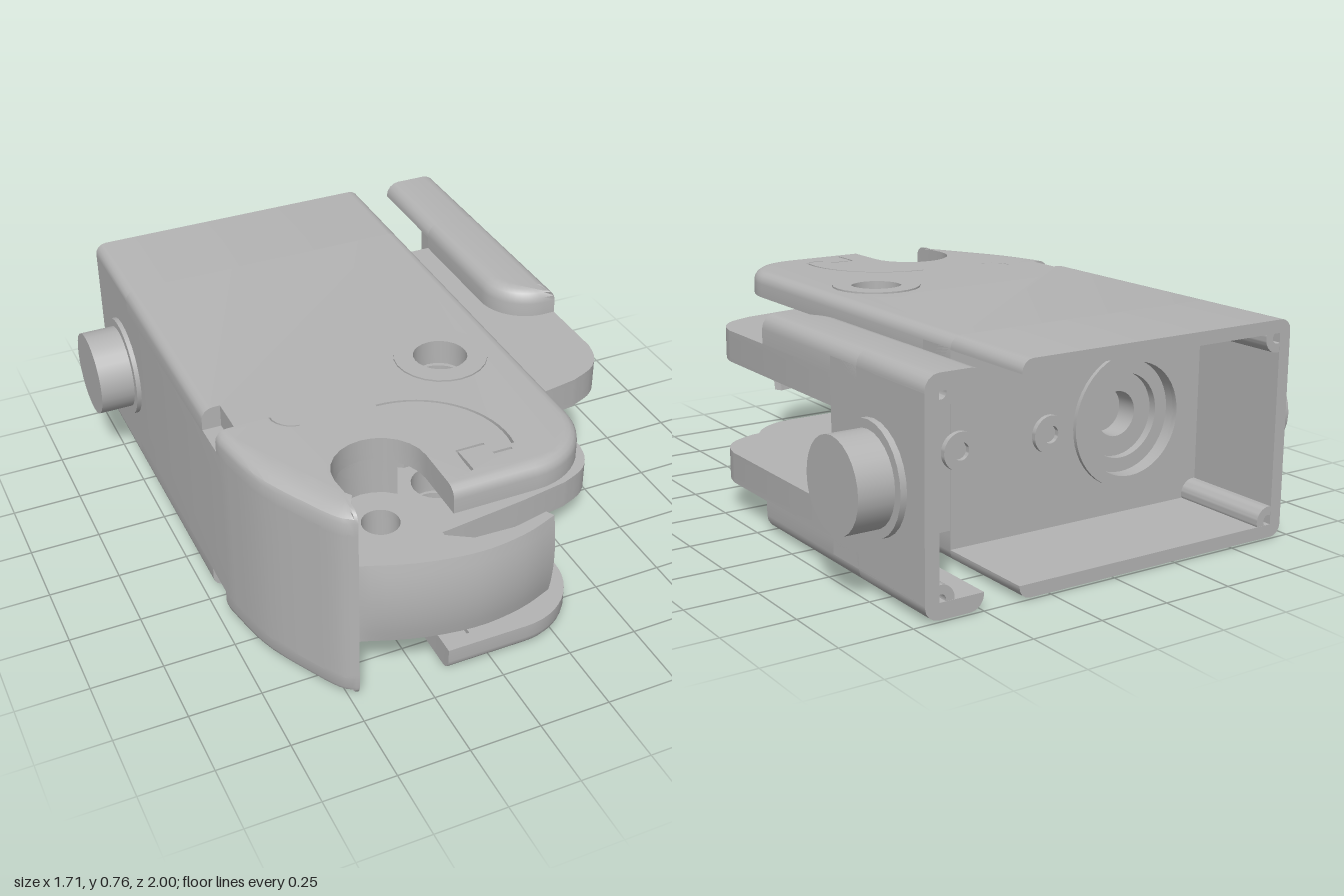
import * as THREE from 'three';
import { toCreasedNormals } from 'three/addons/utils/BufferGeometryUtils.js';

const H = 0.75, MID = 0.375, WORM_X = -0.36;
const grey = new THREE.MeshStandardMaterial({ color: 0xb4b4b4 });
grey.name = 'metalGrey';

function add(parent, name, geo, x = 0, y = 0, z = 0) {
  const m = new THREE.Mesh(geo, grey);
  m.name = name;
  m.position.set(x, y, z);
  parent.add(m);
  return m;
}
const box = (parent, name, x0, x1, y0, y1, z0, z1) =>
  add(parent, name, new THREE.BoxGeometry(x1 - x0, y1 - y0, z1 - z0),
    (x0 + x1) / 2, (y0 + y1) / 2, (z0 + z1) / 2);

// Points of an arc in plan, angles in degrees, as [x, z]
function arc(cx, cz, r, a0, a1, n = 12) {
  return Array.from({ length: n + 1 }, (_, i) => {
    const a = THREE.MathUtils.degToRad(a0 + (a1 - a0) * i / n);
    return [cx + r * Math.cos(a), cz + r * Math.sin(a)];
  });
}
const circle = (x, z, r) => arc(x, z, r, 0, 345, 23);
const curve = (pts, n = 14) => new THREE.SplineCurve(pts.map(p => new THREE.Vector2(...p)))
  .getPoints(n).map(p => [p.x, p.y]);

// Closed outline of a narrow slit following a polyline
function slit(pts, w = 0.005) {
  const side = s => pts.map((p, i) => {
    const a = pts[Math.max(i - 1, 0)], b = pts[Math.min(i + 1, pts.length - 1)];
    const dx = b[0] - a[0], dz = b[1] - a[1], l = Math.hypot(dx, dz);
    return [p[0] - s * w * dz / l, p[1] + s * w * dx / l];
  });
  return [...side(1), ...side(-1).reverse()];
}

// Plan outline extruded upwards; inset(point, normal) gives the rounding shift of the top edge
function slabGeo(pts, holes, y0, y1, r = 0, inset = (p, n) => n, steps = 5) {
  const v = l => l.map(p => new THREE.Vector2(p[0], -p[1]));
  const shape = new THREE.Shape(v(pts));
  shape.holes = holes.map(h => new THREE.Path(v(h)));
  const geo = new THREE.ExtrudeGeometry(shape, { depth: 1, steps, bevelEnabled: false });
  geo.rotateX(-Math.PI / 2);
  const key = (x, z) => Math.round(x * 1e4) + ',' + Math.round(z * 1e4);
  const shift = new Map();
  const sign = Math.sign(THREE.ShapeUtils.area(pts.map(p => new THREE.Vector2(...p))));
  pts.forEach((p, i) => {
    const a = pts[(i + pts.length - 1) % pts.length], b = pts[(i + 1) % pts.length];
    const dx = b[0] - a[0], dz = b[1] - a[1], l = Math.hypot(dx, dz) || 1;
    shift.set(key(...p), inset(p, [-sign * dz / l, sign * dx / l]));
  });
  const pos = geo.attributes.position;
  for (let i = 0; i < pos.count; i++) {
    const x = pos.getX(i), z = pos.getZ(i), k = Math.round(pos.getY(i) * steps);
    if (!r) { pos.setY(i, y0 + (y1 - y0) * k / steps); continue; }
    const t = Math.max(k - 1, 0) / (steps - 1) * Math.PI / 2;
    const d = r * (1 - Math.cos(t)), n = shift.get(key(x, z)) || [0, 0];
    pos.setXYZ(i, x + n[0] * d, k ? y1 - r + r * Math.sin(t) : y0, z + n[1] * d);
  }
  return toCreasedNormals(geo, 0.5);
}

// Ring along z
function ring(parent, name, R, r, len, x, y, z) {
  const s = new THREE.Shape().absarc(0, 0, R, 0, Math.PI * 2);
  s.holes.push(new THREE.Path().absarc(0, 0, r, 0, Math.PI * 2));
  const g = new THREE.ExtrudeGeometry(s, { depth: len, bevelEnabled: false, curveSegments: 24 });
  return add(parent, name, toCreasedNormals(g, 0.5), x, y, z);
}

function rod(parent, name, r, z0, z1, x = WORM_X) {
  const g = new THREE.CylinderGeometry(r, r, z1 - z0, 32).rotateX(Math.PI / 2);
  return add(parent, name, g, x, MID, (z0 + z1) / 2);
}

export function createModel() {
  const model = new THREE.Group();
  model.name = 'gearHousing';

  // Outlines in plan
  const nose = curve([[-0.715, 0.36], [-0.67, 0.58], [-0.58, 0.77], [-0.52, 0.87], [-0.47, 0.9]]);
  const slot = arc(-0.315, 0.72, 0.155, 180, 360);
  const pivot = circle(0.13, 0.23, 0.093);
  const coverOutline = [
    [-0.715, -0.62], [-0.715, 0.2], [-0.65, 0.2], [-0.65, 0.33], [-0.715, 0.33],
    ...nose, ...slot, [-0.16, 0.915], ...arc(0.13, 0.675, 0.24, 90, 0), [0.37, -0.62]];
  const coverInset = ([x, z], n) => {
    if (z < -0.61) return [x < 0 ? 1 : -1, 0];
    if (x > -0.49 && x < -0.15 && z > 0.5) return [0, z > 0.85 ? -1 : 0];
    if (x < -0.6 && z < 0.35) return [x < -0.7 ? 1 : 0, 0];
    const m = x < -0.4 ? 1 + 1.3 * THREE.MathUtils.smoothstep(z, 0.33, 0.7) : 1;
    return [n[0] * m, n[1] * m];
  };
  const flangeInset = ([x, z], n) => z < -0.61 ? [x < 0.6 ? 1 : -1, 0] : n;
  const sides = ([x], c) => [x < c ? 1 : -1, 0];
  const slits = [
    slit(arc(-0.19, 0.72, 0.31, -90, 10, 16)),
    slit([[-0.065, 0.865], [-0.065, 0.8], [-0.065, 0.74], [0.03, 0.74]]),
    slit([[0.035, 0.795], [0.1, 0.795]]),
    slit(arc(-0.45, 0.33, 0.08, 95, 180, 6), 0.003)];

  // Upper half, mirrored for the lower half
  const half = new THREE.Group();
  half.name = 'upperHalf';
  add(half, 'cover', slabGeo(coverOutline, [pivot, ...slits], 0.66, H, 0.04, coverInset));
  add(half, 'rearCover', slabGeo([[-0.715, -1], [-0.715, -0.62], [0.37, -0.62], [0.37, -1]], [],
    0.705, H, 0.04, p => sides(p, -0.17)));
  add(half, 'pivotRim', slabGeo(circle(0.13, 0.23, 0.16), [pivot], 0.74, 0.756));
  add(half, 'flange', slabGeo([[0.5, -0.62], ...arc(0.67, -0.17, 0.17, 180, 90), [0.71, 0], [0.71, -0.62]],
    [], 0.645, H, 0.05, flangeInset));
  add(half, 'rearFlange', slabGeo([[0.5, -1], [0.5, -0.62], [0.71, -0.62], [0.71, -1]], [],
    0.695, H, 0.05, p => sides(p, 0.6)));
  add(half, 'bracketArm', slabGeo([[-0.2, -0.5], [-0.2, 0.45], [-0.13, 0.5], [0.05, 0.49], [0.37, 0.45],
    ...curve([[0.55, 0.42], [0.64, 0.38], [0.69, 0.32], [0.71, 0.25]], 10), [0.71, -0.5]],
    [pivot], 0.54, 0.65));
  ring(half, 'housingScrewBoss', 0.05, 0.02, 0.38, -0.66, 0.69, -0.999);
  ring(half, 'flangeScrewBoss', 0.05, 0.02, 0.38, 0.655, 0.69, -0.999);
  const lower = half.clone();
  lower.name = 'lowerHalf';
  lower.scale.y = -1;
  lower.position.y = H;
  model.add(half, lower);

  // Side walls
  add(model, 'sideWall', slabGeo([[-0.715, -0.62], ...nose, ...slot.slice(0, 10),
    [-0.3, 0.53], [-0.56, 0.5], [-0.6, 0.44], [-0.6, -0.62]], [], 0.08, 0.67));
  box(model, 'rearSideWall', -0.715, -0.67, 0.04, 0.71, -1, -0.62);
  box(model, 'flangeWall', 0.66, 0.71, 0.05, 0.7, -1, -0.46);

  // Bulkhead with bearing bore
  const wall = new THREE.Shape([[-0.69, 0.04], [0.37, 0.04], [0.37, 0.71], [-0.69, 0.71]]
    .map(p => new THREE.Vector2(...p)));
  wall.holes.push(new THREE.Path().absarc(WORM_X, MID, 0.2, 0, Math.PI * 2));
  add(model, 'bulkhead', toCreasedNormals(new THREE.ExtrudeGeometry(wall,
    { depth: 0.16, bevelEnabled: false, curveSegments: 24 }), 0.5), 0, 0, -0.62);
  box(model, 'bracketWeb', 0.36, 0.7, 0.11, 0.65, -0.618, -0.46);
  ring(model, 'boreRim', 0.24, 0.2, 0.02, WORM_X, MID, -0.635);
  ring(model, 'bearingOuter', 0.2, 0.15, 0.1, WORM_X, MID, -0.58);
  ring(model, 'bearingInner', 0.15, 0.08, 0.08, WORM_X, MID, -0.55);
  for (const x of [0.34, -0.015]) {
    ring(model, 'boltHead', 0.065, 0.03, 0.02, x, MID, -0.637);
  }

  // Worm and its shaft
  rod(model, 'motorBody', 0.158, -0.47, -0.04);
  rod(model, 'wormCore', 0.125, -0.05, 0.42);
  rod(model, 'wormShaft', 0.095, 0.41, 0.56);
  for (const start of [0, Math.PI]) {
    const helix = Array.from({ length: 65 }, (_, i) => {
      const a = i / 64 * Math.PI * 4.2;
      return new THREE.Vector3(0.128 * Math.cos(a + start), 0.128 * Math.sin(a + start),
        0.4 - 0.21 * a / (Math.PI * 2));
    });
    add(model, 'wormThread', new THREE.TubeGeometry(new THREE.CatmullRomCurve3(helix), 110, 0.031, 8),
      WORM_X, MID, 0);
  }

  // Curved front finger with a hinge hole
  const front = curve([[-0.56, 0.8], [-0.47, 0.895], [-0.3, 0.965], [-0.1, 0.998], [0.07, 0.98], [0.2, 0.935]], 20);
  const finger = slabGeo([...front, [0.185, 0.9], [0.06, 0.935], [-0.08, 0.93], [-0.16, 0.86],
    [-0.16, 0.6], [-0.3, 0.54], [-0.5, 0.56]], [circle(-0.315, 0.72, 0.063)], 0.225, 0.535, 0, undefined, 8);
  const p = finger.attributes.position;
  for (let i = 0; i < p.count; i++) {
    const k = THREE.MathUtils.smoothstep(p.getZ(i), 0.86, 0.93);
    p.setZ(i, p.getZ(i) - 0.02 * k * ((p.getY(i) - 0.38) / 0.155) ** 2);
  }
  finger.computeVertexNormals();
  add(model, 'frontFinger', toCreasedNormals(finger, 0.5));

  // Side pins with collars
  for (const s of [-1, 1]) {
    const pin = (name, r, x0, x1) => add(model, name,
      new THREE.CylinderGeometry(r, r, x1 - x0, 28).rotateZ(Math.PI / 2), s * (x0 + x1) / 2, MID, -0.72);
    pin('sidePin', 0.155, 0.69, 0.857);
    pin('pinCollar', 0.185, 0.69, 0.732);
  }
  return model;
}
